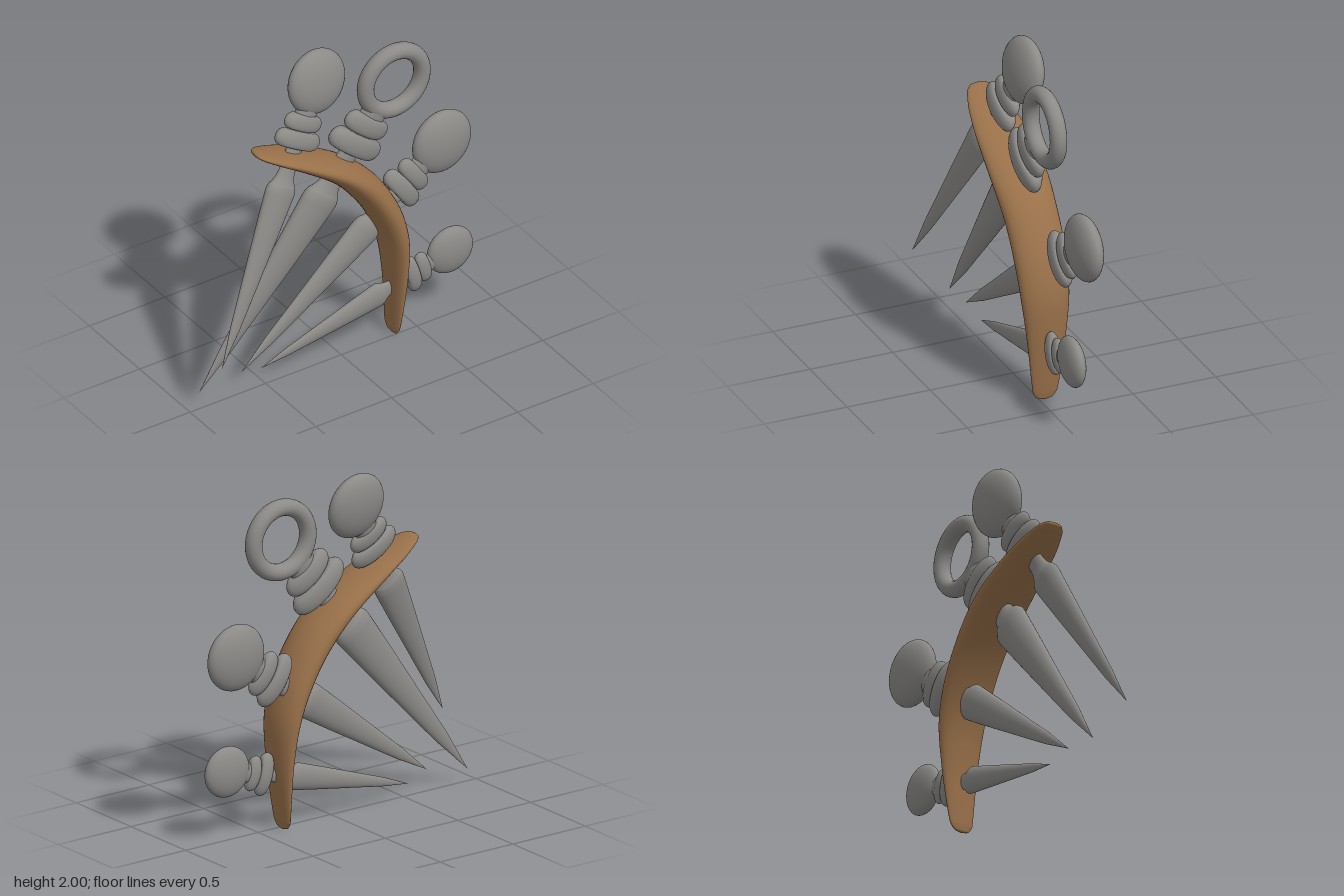
import * as THREE from 'three';

const V2 = (p) => new THREE.Vector2(p[0], p[1]);

// Smooth lathe around y through [radius, height] points, flattened in z
function lathe(points, flat, steps = 0) {
  let pts = points.map(V2);
  if (steps) pts = new THREE.SplineCurve(pts).getPoints(steps);
  pts.forEach((p) => { p.x = Math.max(p.x, 0); });
  return new THREE.LatheGeometry(pts, 32).scale(1, 1, flat);
}

// Rounded collar disc: capsule outline of the given radius and half thickness
function collar(radius, half) {
  const pts = [[0, -half]];
  for (let i = 0; i <= 10; i++) {
    const a = -Math.PI / 2 + (Math.PI * i) / 10;
    pts.push([radius - half + half * Math.cos(a), half * Math.sin(a)]);
  }
  pts.push([0, half]);
  return lathe(pts, 0.36);
}

// Curved bar: elliptical sections swept along a centre line
function barGeometry() {
  // x, y, half thickness, half width
  const rows = [
    [-0.552, 1.537, 0.001, 0.001], [-0.545, 1.533, 0.012, 0.045], [-0.51, 1.517, 0.022, 0.08],
    [-0.4, 1.463, 0.035, 0.12], [-0.25, 1.385, 0.05, 0.148], [0.0, 1.225, 0.075, 0.165],
    [0.17, 1.05, 0.088, 0.157], [0.295, 0.84, 0.084, 0.153], [0.358, 0.64, 0.07, 0.143],
    [0.375, 0.4, 0.046, 0.117], [0.366, 0.15, 0.025, 0.088], [0.359, 0.05, 0.017, 0.073],
    [0.357, 0.012, 0.01, 0.045], [0.357, 0.001, 0.001, 0.001],
  ];
  const centre = new THREE.CatmullRomCurve3(rows.map((r) => new THREE.Vector3(r[0], r[1], -0.033)));
  const size = new THREE.CatmullRomCurve3(rows.map((r) => new THREE.Vector3(r[2], r[3], 0)));
  const n = 78, m = 32, pos = [], index = [];
  for (let i = 0; i <= n; i++) {
    const c = centre.getPoint(i / n), t = centre.getTangent(i / n), s = size.getPoint(i / n);
    for (let j = 0; j < m; j++) {
      const a = (2 * Math.PI * j) / m, d = s.x * Math.cos(a);
      pos.push(c.x - t.y * d, c.y + t.x * d, c.z + s.y * Math.sin(a));
      if (i < n) {
        const p = i * m + j, q = i * m + ((j + 1) % m);
        index.push(p, q, p + m, q, q + m, p + m);
      }
    }
  }
  const g = new THREE.BufferGeometry();
  g.setAttribute('position', new THREE.Float32BufferAttribute(pos, 3));
  g.setIndex(index);
  g.computeVertexNormals();
  return g;
}

export function createModel() {
  const metal = new THREE.MeshStandardMaterial({ color: 0x8b8a87 });
  metal.name = 'grey metal';
  const wood = new THREE.MeshStandardMaterial({ color: 0x99714a });
  wood.name = 'brown wood';

  const model = new THREE.Group();
  model.name = 'spikedBar';
  const add = (parent, name, geometry, material, y = 0) => {
    const mesh = new THREE.Mesh(geometry, material);
    mesh.name = name;
    mesh.position.y = y;
    parent.add(mesh);
  };

  add(model, 'curvedBar', barGeometry(), wood);

  // Spike parts in unit length: point at y = 0, middle of the head at y = 1
  const blade = lathe([[0, 0], [0.02, 0.14], [0.034, 0.3], [0.049, 0.47], [0.06, 0.605], [0.0605, 0.622], [0.056, 0.635]], 0.5);
  const neck = lathe([[0.056, 0.635], [0.042, 0.657], [0.035, 0.68], [0.033, 0.71], [0.033, 0.78], [0.04, 0.83], [0.045, 0.91]], 0.5, 24);
  const largeCollar = collar(0.096, 0.03);
  const smallCollar = collar(0.079, 0.028);
  const roundHead = new THREE.SphereGeometry(0.114, 36, 24).scale(1, 1, 0.4);
  const ringHead = new THREE.TorusGeometry(0.091, 0.0235, 20, 48);

  // Each spike runs from its point to the middle of its head
  const spikes = [
    { name: 'topSpike', tip: [-0.92, 0.37, 0.195], head: [-0.095, 1.81, -0.105] },
    { name: 'ringSpike', tip: [-0.92, 0.085, -0.03], head: [0.365, 1.685, -0.027], ring: true },
    { name: 'lowerSpike', tip: [-0.655, 0.13, -0.01], head: [0.73, 1.095, -0.1] },
    { name: 'bottomSpike', tip: [-0.51, 0.085, -0.035], head: [0.735, 0.41, -0.025] },
  ];
  for (const { name, tip, head, ring } of spikes) {
    const spike = new THREE.Group();
    spike.name = name;
    add(spike, 'blade', blade, metal);
    add(spike, 'neck', neck, metal);
    add(spike, 'largeCollar', largeCollar, metal, 0.798);
    add(spike, 'smallCollar', smallCollar, metal, 0.857);
    add(spike, ring ? 'ringHead' : 'roundHead', ring ? ringHead : roundHead, metal, 1);

    // Aim local y along the spike, keeping the flat side towards the front
    const from = new THREE.Vector3(...tip);
    const up = new THREE.Vector3(...head).sub(from);
    const length = up.length();
    up.normalize();
    const right = up.clone().cross(new THREE.Vector3(0, 0, 1)).normalize();
    const front = right.clone().cross(up);
    spike.quaternion.setFromRotationMatrix(new THREE.Matrix4().makeBasis(right, up, front));
    spike.position.copy(from);
    spike.scale.setScalar(length);
    model.add(spike);
  }
  return model;
}
